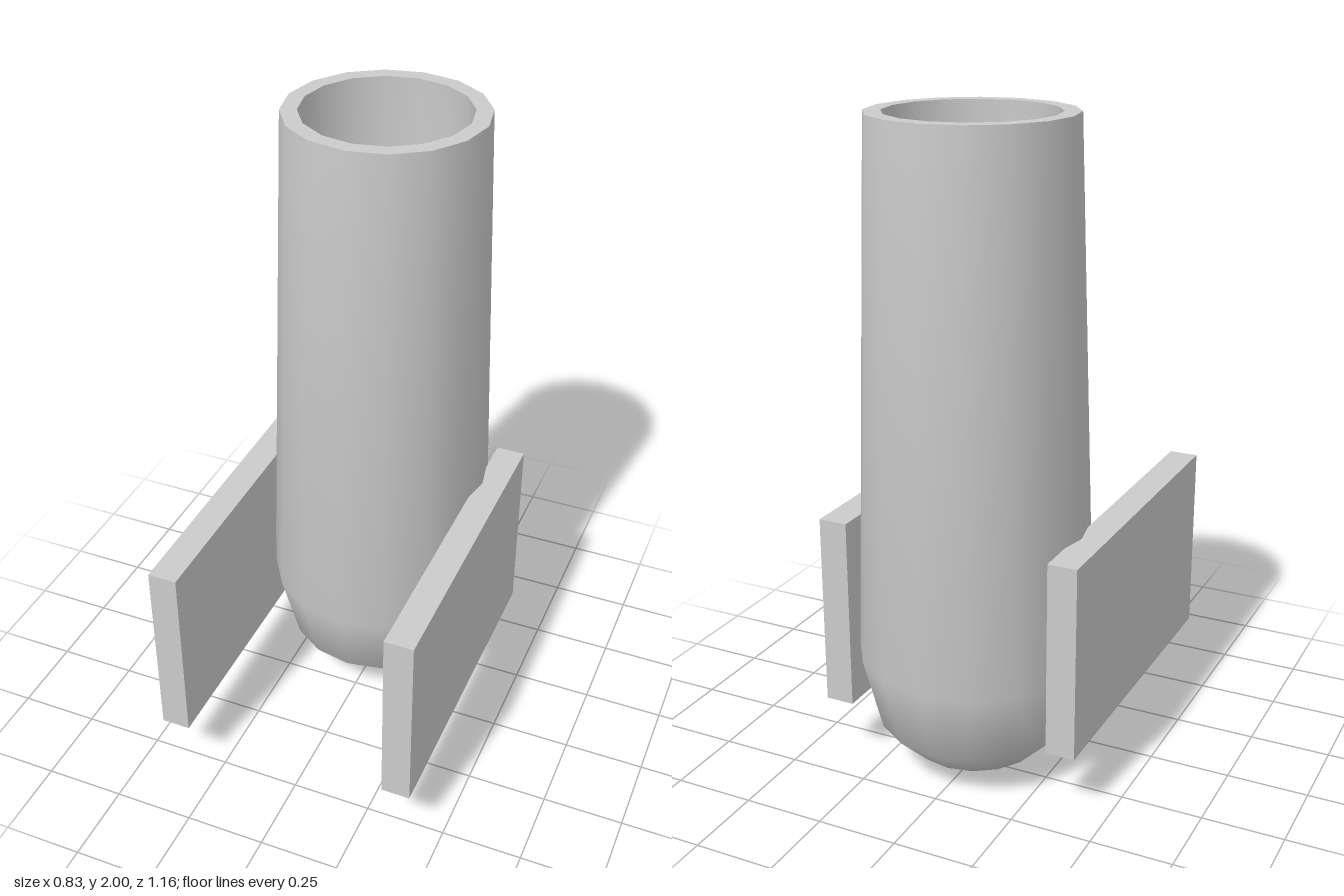
import * as THREE from 'three';
import { toCreasedNormals } from 'three/addons/utils/BufferGeometryUtils.js';

const material = new THREE.MeshStandardMaterial({ color: 0xcccccc });

export function createModel() {
  const model = new THREE.Group();
  model.name = 'mortarTube';

  // Hollow tapered barrel with a rounded base: up the outside, over the rim, down the inside
  const profile = [
    [0, 0], [0.075, 0.003], [0.2, 0.063], [0.3, 0.16], [0.358, 0.39], [0.3, 2],
    [0.25, 2], [0.306, 0.4], [0.26, 0.19], [0.17, 0.1], [0.065, 0.05], [0, 0.047],
  ].map(([r, y]) => new THREE.Vector2(r, y));
  const barrel = new THREE.Mesh(
    toCreasedNormals(new THREE.LatheGeometry(profile, 16), 0.8), material);
  barrel.name = 'barrel';
  barrel.position.z = -0.223;
  model.add(barrel);

  // Flat cheek plates on both sides, reaching forward
  for (const [name, side] of [['leftPlate', 1], ['rightPlate', -1]]) {
    const plate = new THREE.Mesh(new THREE.BoxGeometry(0.09, 0.6, 1.007), material);
    plate.name = name;
    plate.position.set(side * 0.371, 0.503, 0.077);
    model.add(plate);
  }

  return model;
}
